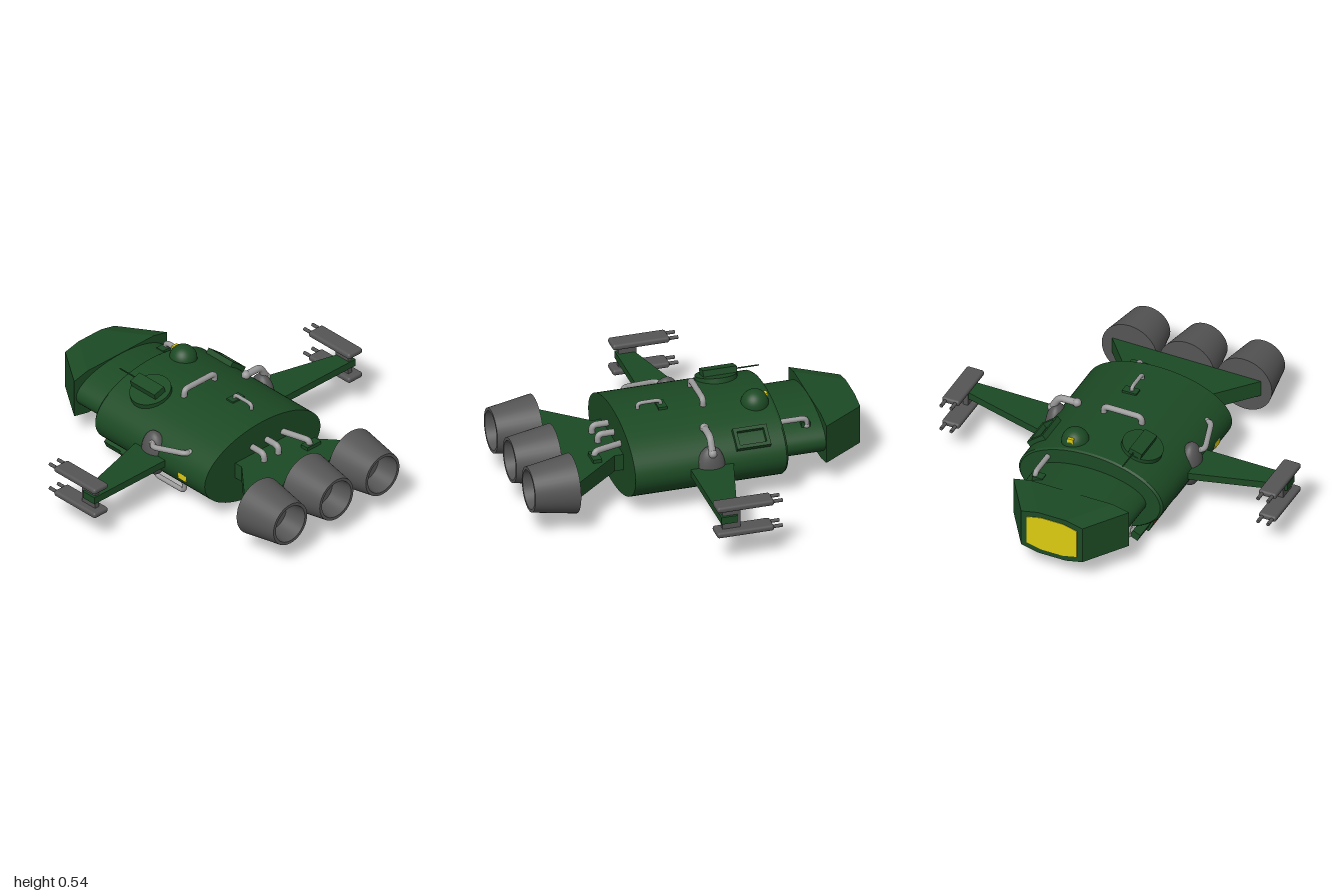
import * as THREE from 'three';
import { ConvexGeometry } from 'three/addons/geometries/ConvexGeometry.js';
import { RoundedBoxGeometry } from 'three/addons/geometries/RoundedBoxGeometry.js';

const mat = (color, side = THREE.FrontSide) => new THREE.MeshStandardMaterial({ color, side });
const V = (x, y, z) => new THREE.Vector3(x, y, z);
const CY = 0.265, CZ = 0.017; // hull axis
const HULL_Y = 0.225, HULL_Z = 0.43;

export function createModel() {
  const root = new THREE.Group();
  const green = mat(0x1c4a24), dark = mat(0x555555, THREE.DoubleSide);
  const pipeGrey = mat(0x999999), yellow = mat(0xddcc10), red = mat(0x7a3a18);

  const add = (name, geo, material, x = 0, y = 0, z = 0, parent = root) => {
    const mesh = new THREE.Mesh(geo, material);
    mesh.name = name;
    mesh.position.set(x, y, z);
    parent.add(mesh);
    return mesh;
  };
  const box = (name, material, w, h, d, x, y, z, parent) =>
    add(name, new THREE.BoxGeometry(w, h, d), material, x, y, z, parent);

  // Elliptical drum lying along x
  const drum = (name, x0, x1, ry0, rz0, ry1 = ry0, rz1 = rz0) => {
    const geo = new THREE.CylinderGeometry(rz1 , rz0, x1 - x0, 64);
    geo.rotateZ(-Math.PI / 2);
    geo.scale(1, ry0 / rz0, 1);
    return add(name, geo, green, (x0 + x1) / 2, CY, CZ);
  };

  // Bent pipe with straight runs and tight rounded corners
  const pipe = (name, points, r = 0.015) => {
    const p = points.map(a => V(...a));
    const path = new THREE.CurvePath();
    let last = p[0];
    for (let i = 1; i < p.length - 1; i++) {
      const a = p[i].clone().lerp(p[i - 1], Math.min(0.45, 0.03 / p[i].distanceTo(p[i - 1])));
      const b = p[i].clone().lerp(p[i + 1], Math.min(0.45, 0.03 / p[i].distanceTo(p[i + 1])));
      path.add(new THREE.LineCurve3(last, a));
      path.add(new THREE.QuadraticBezierCurve3(a, p[i], b));
      last = b;
    }
    path.add(new THREE.LineCurve3(last, p[p.length - 1]));
    add(name, new THREE.TubeGeometry(path, 40, r, 12), pipeGrey);
    for (const end of [p[0], p[p.length - 1]])
      add(name + 'Fitting', new THREE.SphereGeometry(r * 1.25, 12, 8), pipeGrey, end.x, end.y, end.z);
  };

  // Flat outline in x and z, extruded upward
  const slab = (name, outline, y0, y1) => {
    const shape = new THREE.Shape(outline.map(([x, z]) => new THREE.Vector2(x, -z)));
    const geo = new THREE.ExtrudeGeometry(shape, { depth: y1 - y0, bevelEnabled: false });
    geo.rotateX(-Math.PI / 2);
    return add(name, geo, green, 0, y0, 0);
  };

  // Group sitting on the hull skin at (x, z), its y axis along the skin normal
  const onHull = (name, x, z) => {
    const dz = z - CZ, dy = HULL_Y * Math.sqrt(1 - (dz / HULL_Z) ** 2);
    const g = new THREE.Group();
    g.name = name;
    g.position.set(x, CY + dy, z);
    g.rotation.x = Math.atan2(dz / HULL_Z ** 2, dy / HULL_Y ** 2);
    root.add(g);
    return g;
  };

  // Hull and neck
  drum('hull', -0.47, 0.38, HULL_Y, HULL_Z);
  const rim = drum('hullFrontBevel', -0.482, -0.47, HULL_Y, HULL_Z);
  rim.geometry.dispose();
  rim.geometry = new THREE.CylinderGeometry(HULL_Z, 0.418, 0.012, 64)
    .rotateZ(-Math.PI / 2).scale(1, HULL_Y / HULL_Z, 1);
  drum('neck', -0.73, -0.47, 0.132, 0.333);

  // Cockpit head: chamfered section narrowing to the nose
  const section = (x, halfZ, flatZ, halfY, sideY) => [-1, 1].flatMap(sy => [-1, 1].flatMap(sz =>
    [V(x, CY + sy * sideY, 0.02 + sz * halfZ), V(x, CY + sy * halfY, 0.02 + sz * flatZ)]));
  add('cockpitHead', new ConvexGeometry([
    ...section(-0.96, 0.183, 0.083, 0.135, 0.112), ...section(-0.72, 0.345, 0.245, 0.135, 0.112)]), green);
  add('cockpitWindow', new ConvexGeometry([
    ...section(-0.963, 0.15, 0.065, 0.106, 0.086), ...section(-0.95, 0.15, 0.065, 0.106, 0.086)]), yellow);

  // Engine mount and three hollow engines
  slab('engineMount', [[0.36, -0.19], [0.43, -0.19], [0.71, -0.43], [0.71, 0.46], [0.43, 0.22], [0.36, 0.22]], 0.22, 0.315);
  const profile = [[0, 0], [0.165, 0], [0.165, 0], [0.125, 0.245], [0.125, 0.245], [0.108, 0.245],
    [0.108, 0.245], [0.09, 0.12], [0.09, 0.12], [0, 0.12]].map(a => new THREE.Vector2(...a));
  for (const z of [-0.325, 0.017, 0.36]) {
    const geo = new THREE.LatheGeometry(profile, 40);
    geo.rotateZ(-Math.PI / 2);
    add('engine', geo, dark, 0.71, CY, z);
  }

  // Wings, root fairings and paired wingtip guns
  for (const s of [-1, 1]) {
    const outline = [[-0.18, 0.38], [0.07, 0.38], [0.07, 0.97], [-0.02, 0.97]].map(([x, z]) => [x, s * z]);
    slab('wing', s > 0 ? outline.reverse() : outline, 0.245, 0.287);
    const fairing = add('wingRootFairing', new THREE.SphereGeometry(1, 32, 20), dark, -0.05, CY, s * 0.4 + 0.01);
    fairing.scale.set(0.08, 0.135, 0.06);
    box('gunPost', dark, 0.1, 0.16, 0.03, 0.01, CY + 0.002, s * 0.94);
    for (const y of [0.19, 0.344]) {
      add('gun', new RoundedBoxGeometry(0.32, 0.034, 0.104, 3, 0.014), dark, -0.06, y, s * 0.945);
      for (const dz of [-0.03, 0.03])
        add('gunBarrel', new THREE.CylinderGeometry(0.01, 0.01, 0.08, 10).rotateZ(Math.PI / 2),
          dark, -0.23, y, s * 0.945 + dz);
    }
  }

  // Observation dome
  add('dome', new THREE.SphereGeometry(0.076, 32, 20), green, -0.38, 0.472, -0.12);
  box('domeWindow', yellow, 0.03, 0.03, 0.035, -0.434, 0.51, -0.118);

  // Round turret hatch with a long thin barrel
  const turret = onHull('turret', -0.27, 0.225);
  add('turretDisc', new THREE.CylinderGeometry(0.115, 0.115, 0.05, 40), green, 0, -0.005, 0, turret);
  box('turretBlock', green, 0.19, 0.06, 0.075, -0.015, 0.025, 0, turret);
  add('turretBarrel', new THREE.CylinderGeometry(0.004, 0.004, 0.24, 8).rotateZ(Math.PI / 2),
    green, -0.12, 0.035, -0.01, turret);

  // Raised frame on the far shoulder
  const frame = onHull('shoulderFrame', -0.29, -0.345);
  for (const s of [-1, 1]) {
    box('frameRail', green, 0.19, 0.05, 0.02, 0, 0, s * 0.05, frame);
    box('frameEnd', green, 0.02, 0.05, 0.1, s * 0.085, 0, 0, frame);
  }

  // Pads and light panel on the hull
  box('handlePad', green, 0.05, 0.03, 0.085, 0.12, 0.485, -0.03);
  box('sideLight', yellow, 0.062, 0.036, 0.02, 0.203, 0.242, 0.437);

  // Belly equipment box under the near side
  const pod = new THREE.Group();
  pod.name = 'bellyPod';
  pod.position.set(-0.29, 0.055, 0.3);
  pod.rotation.x = 0.42;
  root.add(pod);
  box('podBody', green, 0.19, 0.075, 0.075, 0, 0, 0, pod);
  box('podPanel', red, 0.165, 0.03, 0.01, 0, 0.015, 0.036, pod);
  box('podArm', green, 0.14, 0.045, 0.05, -0.16, 0.01, 0, pod);

  // External pipework
  pipe('topPipe', [[-0.1, 0.47, -0.085], [-0.1, 0.522, -0.085], [-0.1, 0.522, 0.14], [-0.1, 0.46, 0.14]], 0.017);
  pipe('topHandle', [[0.12, 0.48, -0.025], [0.12, 0.52, -0.025], [0.25, 0.52, -0.025], [0.25, 0.48, -0.025]], 0.011);
  pipe('sidePipe', [[-0.03, 0.35, 0.44], [0.0, 0.35, 0.47], [0.19, 0.375, 0.415], [0.2, 0.37, 0.38]], 0.016);
  pipe('shoulderPipe', [[-0.05, 0.37, -0.42], [-0.05, 0.45, -0.375], [-0.05, 0.45, -0.27]], 0.02);
  pipe('bellyHandle', [[-0.12, 0.11, 0.33], [-0.12, 0.05, 0.33], [0.1, 0.05, 0.33], [0.1, 0.11, 0.33]], 0.014);
  pipe('neckPipe', [[-0.635, 0.35, -0.235], [-0.635, 0.395, -0.235], [-0.46, 0.395, -0.235]], 0.015);
  box('neckPipeBase', green, 0.05, 0.04, 0.06, -0.63, 0.355, -0.215);
  pipe('lowerNeckPipe', [[-0.45, 0.06, 0.27], [-0.54, 0.06, 0.27], [-0.54, 0.095, 0.27], [-0.46, 0.1, 0.25]], 0.013);
  pipe('rearPipeLong', [[0.36, 0.355, -0.13], [0.54, 0.355, -0.18], [0.54, 0.3, -0.18]], 0.018);
  box('rearPipeBase', green, 0.05, 0.03, 0.1, 0.54, 0.32, -0.19);
  for (const z of [-0.015, 0.092])
    pipe('rearPipeShort', [[0.36, 0.36, z], [0.47, 0.36, z], [0.47, 0.3, z]], 0.018);

  // Rest exactly on the ground
  root.updateMatrixWorld(true);
  const minY = new THREE.Box3().setFromObject(root, true).min.y;
  for (const part of root.children) part.position.y -= minY;
  return root;
}
